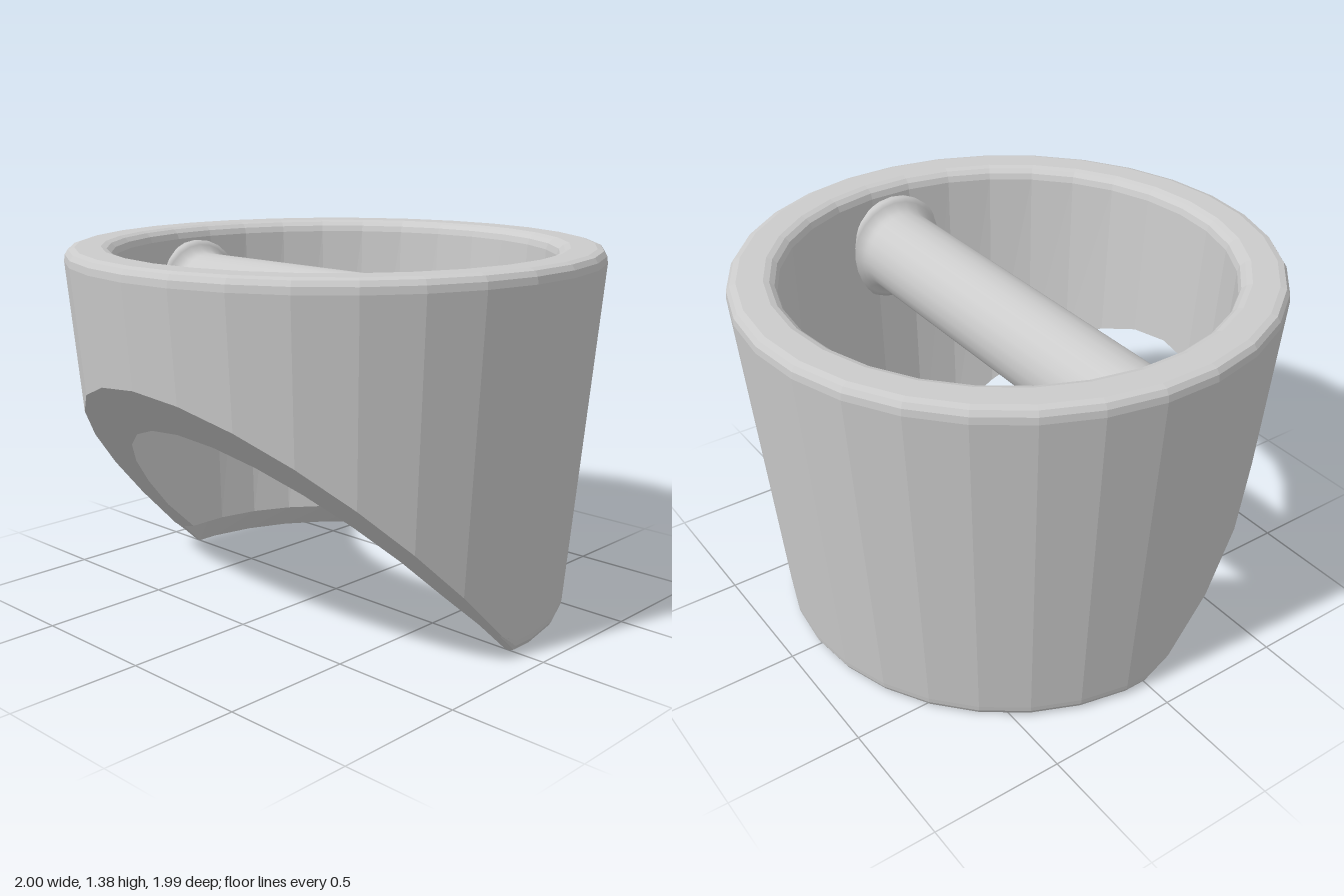
import * as THREE from 'three';

const SIDES = 30;

// Tapered wall lines: radius as r0 + k * y
const OUTER = { r0: 0.885, k: 0.085 };
const wallRadius = (w, y) => w.r0 + w.k * y;

// The bore is a little wider towards the front and back than at the sides
function innerWall(c) {
  const r0 = 0.73 + 0.05 * (1 - c * c);
  return { r0, k: (0.82 - r0) / 1.335 };
}

// Closed cross-section of the ring: up the outside, over the rim, down the inside
// to a flared, thin bottom lip. A third entry marks points that slide along a wall when trimmed.
function crossSection(c) {
  const inner = innerWall(c);
  return [
    [0.86, 0], [0.877, 0.008], [0.886, 0.025],
    [wallRadius(OUTER, 0.045), 0.045, OUTER], [wallRadius(OUTER, 1.33), 1.33],
    [0.995, 1.355], [0.983, 1.373], [0.96, 1.38],
    [0.866, 1.38], [0.845, 1.373], [0.828, 1.358],
    [wallRadius(inner, 1.335), 1.335], [wallRadius(inner, 0.1), 0.1, inner],
    [0.84, 0],
  ];
}

// Raise any point below the slanted plane y = -x onto it
function trim([r, y, wall], c) {
  if (c * r + y >= 0) return [r, y];
  if (!wall) return [r, -c * r];
  const cutY = (-c * wall.r0) / (1 + c * wall.k);
  return [wallRadius(wall, cutY), cutY];
}

function ringGeometry() {
  // Extra columns at the middle of the front and back facets, where the cut starts
  const columns = [];
  for (let i = 0; i < SIDES; i++) columns.push({ a: (i * 2 * Math.PI) / SIDES, scale: 1 });
  for (const a of [Math.PI / 2, 1.5 * Math.PI]) columns.push({ a, scale: Math.cos(Math.PI / SIDES) });
  columns.sort((p, q) => p.a - q.a);

  const positions = [], index = [];
  columns.forEach(({ a, scale }, i) => {
    const c = Math.cos(a) * scale, s = Math.sin(a) * scale;
    const next = (i + 1) % columns.length;
    const section = crossSection(c), n = section.length;
    section.forEach((p, j) => {
      const [r, y] = trim(p, Math.abs(c) < 1e-6 ? 0 : c);
      positions.push(c * r, y, s * r);
      const k = (j + 1) % n;
      index.push(i * n + j, i * n + k, next * n + j);
      index.push(i * n + k, next * n + k, next * n + j);
    });
  });
  const geo = new THREE.BufferGeometry();
  geo.setAttribute('position', new THREE.Float32BufferAttribute(positions, 3));
  geo.setIndex(index);
  const flat = geo.toNonIndexed();
  flat.computeVertexNormals();
  return flat;
}

// Round bar whose ends flare into the wall
function barGeometry() {
  const half = [[0.165, 0.735], [0.169, 0.755], [0.18, 0.773], [0.198, 0.786], [0.215, 0.795], [0.215, 0.83]];
  const points = [
    ...half.map(([r, z]) => new THREE.Vector2(r, -z)).reverse(),
    ...half.map(([r, z]) => new THREE.Vector2(r, z)),
  ];
  return new THREE.LatheGeometry(points, 24).rotateX(Math.PI / 2);
}

export function createModel() {
  const model = new THREE.Group();
  model.name = 'slantedRingWithBar';

  const ring = new THREE.Mesh(
    ringGeometry(),
    new THREE.MeshStandardMaterial({ color: 0xcccccc, flatShading: true })
  );
  ring.name = 'slantedRing';

  const bar = new THREE.Mesh(barGeometry(), new THREE.MeshStandardMaterial({ color: 0xcccccc }));
  bar.name = 'crossBar';
  bar.position.y = 1.11;

  model.add(ring, bar);
  return model;
}
